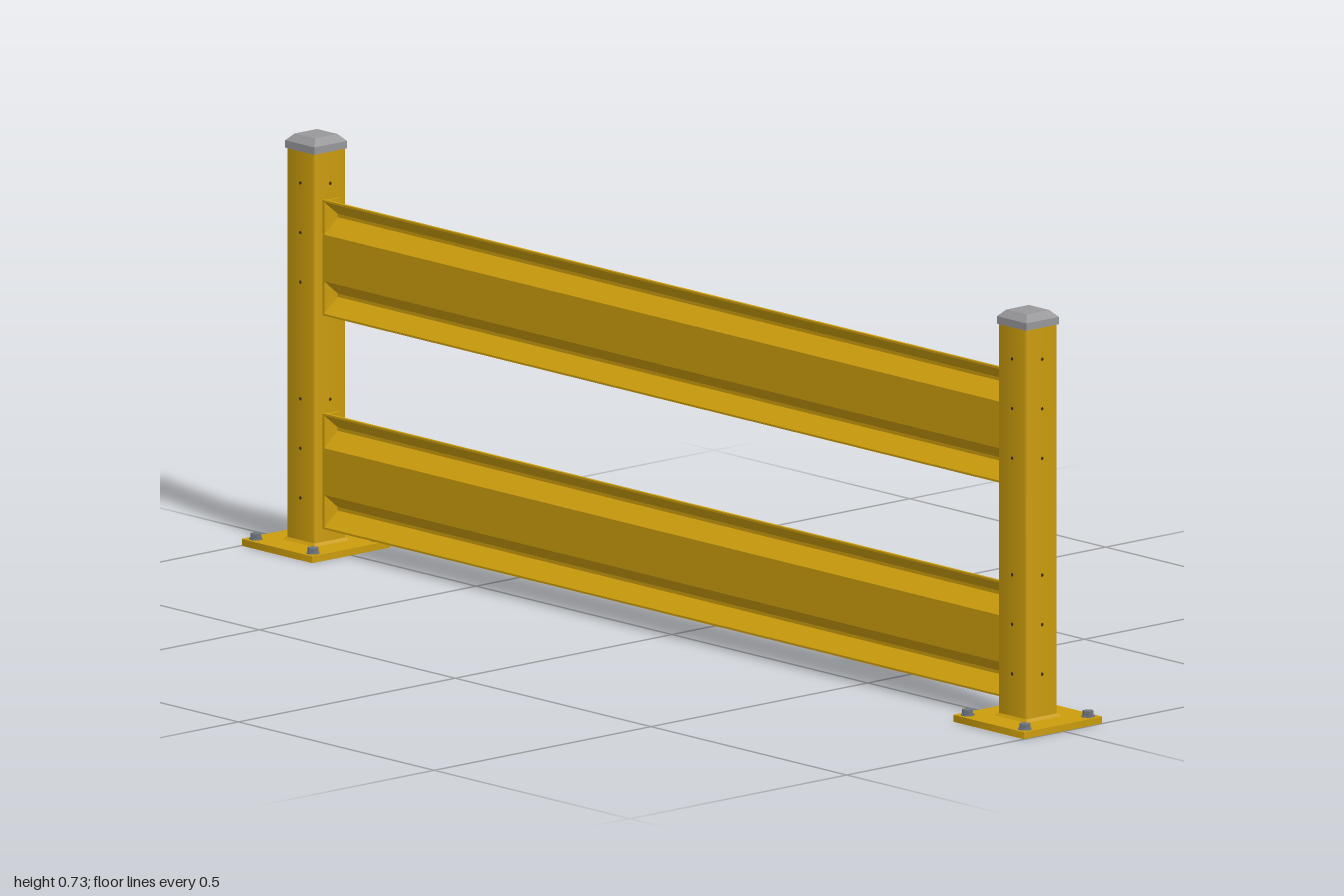
import * as THREE from 'three';
import { toCreasedNormals } from 'three/addons/utils/BufferGeometryUtils.js';

const yellow = new THREE.MeshStandardMaterial({ color: 0xcb9c0c });
yellow.name = 'safety yellow';
const grey = new THREE.MeshStandardMaterial({ color: 0x97979a });
grey.name = 'cap grey';
const steel = new THREE.MeshStandardMaterial({ color: 0x6f757e });
steel.name = 'bolt steel';
const dark = new THREE.MeshStandardMaterial({ color: 0x3a3012 });
dark.name = 'hole shadow';

const POST_X = 0.909, HALF = 0.036;

function add(parent, name, geometry, material, x = 0, y = 0, z = 0) {
  const mesh = new THREE.Mesh(geometry, material);
  mesh.name = name;
  mesh.position.set(x, y, z);
  parent.add(mesh);
  return mesh;
}

// Square outline with rounded corners
function roundedSquare(Type, h, r) {
  const s = new Type();
  s.moveTo(h, -h + r);
  [0, 1, 2, 3].forEach((i) => {
    const a = i * Math.PI / 2;
    const cx = (i === 0 || i === 3 ? 1 : -1) * (h - r);
    const cy = (i < 2 ? 1 : -1) * (h - r);
    s.absarc(cx, cy, r, a, a + Math.PI / 2, false);
  });
  return s;
}

// Hollow square section standing upright
function squareTube(h, r, innerH, innerR, height) {
  const s = roundedSquare(THREE.Shape, h, r);
  s.holes.push(roundedSquare(THREE.Path, innerH, innerR));
  const g = new THREE.ExtrudeGeometry(s, { depth: height, bevelEnabled: false, curveSegments: 4 });
  g.rotateX(-Math.PI / 2);
  return toCreasedNormals(g, 0.6);
}

// Four-sided tapered block, standing on y = 0
function taperedBlock(topHalf, bottomHalf, height, open = false) {
  const g = new THREE.CylinderGeometry(topHalf * Math.SQRT2, bottomHalf * Math.SQRT2, height, 4, 1, open);
  g.rotateY(Math.PI / 4).translate(0, height / 2, 0);
  return toCreasedNormals(g, 0.3);
}

// Corrugated sheet section: [height, depth] down the centre line
function railGeometry(length) {
  const f = 0.0155, t = 0.0028;
  const upper = [[0.1015, f], [0.098, f], [0.073, -f], [0.067, -f], [0.041, f]];
  const line = upper.concat(upper.slice().reverse().map(([y, z]) => [-y, z]));
  const front = line.map(([y, z]) => new THREE.Vector2(-(z + t), y));
  const back = line.map(([y, z]) => new THREE.Vector2(-(z - t), y)).reverse();
  const g = new THREE.ExtrudeGeometry(new THREE.Shape(front.concat(back)), { depth: length, bevelEnabled: false });
  g.translate(0, 0, -length / 2).rotateY(Math.PI / 2);
  return toCreasedNormals(g, 0.4);
}

function createPost() {
  const post = new THREE.Group();
  add(post, 'basePlate', squareTube(0.0905, 0.002, 0.031, 0.002, 0.012), yellow);
  add(post, 'upright', squareTube(HALF, 0.004, 0.032, 0.002, 0.696), yellow, 0, 0.006, 0);
  add(post, 'weld', taperedBlock(HALF, 0.040, 0.005, true), yellow, 0, 0.012, 0);

  // Chamfered end cap
  add(post, 'capRim', taperedBlock(0.0375, 0.0375, 0.013), grey, 0, 0.7, 0);
  add(post, 'capTop', taperedBlock(0.026, 0.0375, 0.012), grey, 0, 0.713, 0);

  // Anchor bolts at the plate corners
  const washer = new THREE.CylinderGeometry(0.0115, 0.0115, 0.002, 20);
  const head = toCreasedNormals(new THREE.CylinderGeometry(0.0098, 0.0098, 0.009, 6), 0.3);
  for (const sx of [-1, 1]) for (const sz of [-1, 1]) {
    add(post, 'washer', washer, steel, sx * 0.073, 0.013, sz * 0.073);
    add(post, 'anchorBolt', head, steel, sx * 0.073, 0.0178, sz * 0.073);
  }

  // Small fixing holes on all four faces
  const hole = new THREE.CircleGeometry(0.003, 12);
  for (const y of [0.091, 0.178, 0.265, 0.47, 0.557, 0.644]) {
    for (let i = 0; i < 4; i++) {
      const a = i * Math.PI / 2, d = HALF + 0.0004;
      add(post, 'fixingHole', hole, dark, Math.sin(a) * d, y, Math.cos(a) * d).rotation.y = a;
    }
  }
  return post;
}

export function createModel() {
  const model = new THREE.Group();
  model.name = 'guardRail';

  for (const side of [1, -1]) {
    const post = createPost();
    post.name = side > 0 ? 'leftPost' : 'rightPost';
    post.position.x = side * POST_X;
    model.add(post);
  }

  // Two corrugated rails with end plates against the posts
  const inner = POST_X - HALF;
  const rail = railGeometry(inner * 2);
  const endPlate = new THREE.BoxGeometry(0.005, 0.2, 0.036);
  [['lower', 0.1415], ['upper', 0.5165]].forEach(([name, y]) => {
    add(model, name + 'Rail', rail, yellow, 0, y, 0);
    for (const side of [1, -1]) {
      add(model, name + 'RailEndPlate', endPlate, yellow, side * (inner - 0.0025), y, 0);
    }
  });
  return model;
}
